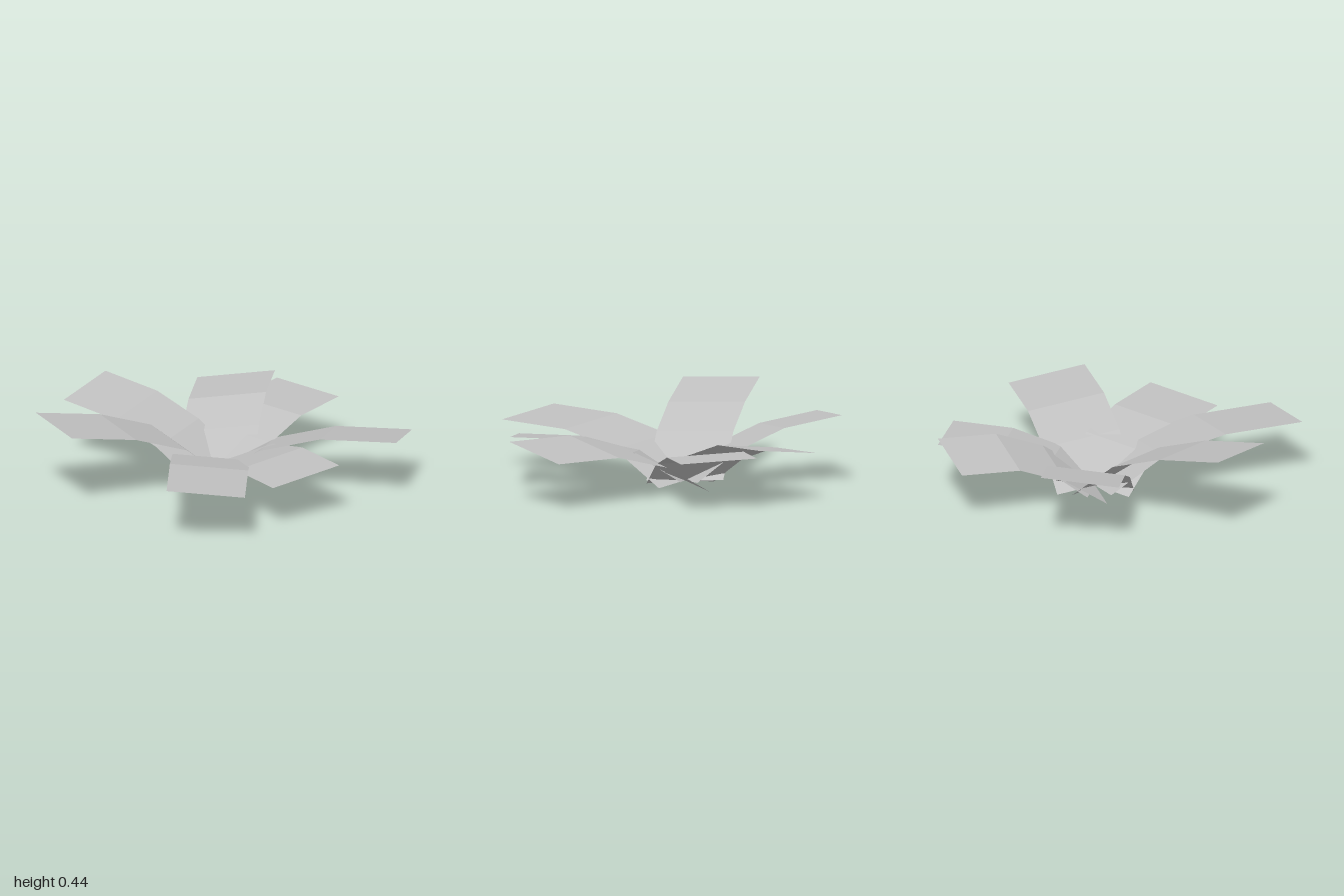
import * as THREE from 'three';

// Shared root point where every leaf strip starts
const ROOT = { x: -0.06, y: 0.035, z: -0.145 };
const HALF_WIDTH = 0.208;
// Fractions of the reach at which a leaf bends
const STATIONS = [0, 0.28, 0.6, 1];

// dir: plan direction [x, z]; reach: plan length;
// heights: centre line at the bends and tip; tilt: rise of the clockwise side
const LEAVES = [
  { name: 'backLeaf', dir: [0.14, -0.99], hx: 0.03, reach: 0.81, heights: [0.185, 0.28, 0.29] },
  { name: 'backLeftLeaf', dir: [0.61, -0.79], hx: -0.008, reach: 0.81, heights: [0.175, 0.255, 0.272] },
  { name: 'leftLeaf', dir: [0.98, 0.2], hx: 0.033, reach: 1.03, heights: [0.195, 0.283, 0.293] },
  { name: 'frontLeftLeaf', dir: [0.54, 0.84], hx: -0.025, reach: 0.91, heights: [0.19, 0.253, 0.26] },
  { name: 'frontLeaf', dir: [-0.035, 1], hx: 0.016, reach: 1.11, heights: [0.21, 0.278, 0.28] },
  { name: 'frontRightLeaf', dir: [-0.885, 0.465], hx: 0.008, reach: 0.957, heights: [0.255, 0.363, 0.433] },
  { name: 'backRightLeaf', dir: [-0.85, -0.527], hx: 0.02, reach: 0.81, heights: [0.195, 0.303, 0.355] },
];

// A flat strip bent along its length and tilted sideways
function leafGeometry({ dir, hx, reach, heights }) {
  const len = Math.hypot(dir[0], dir[1]);
  const dx = dir[0] / len, dz = dir[1] / len;
  const ys = [ROOT.y, ...heights];
  const strip = new THREE.PlaneGeometry(1, 1, 1, 3);
  const pos = strip.attributes.position;
  for (let row = 0; row < 4; row++) {
    const r = STATIONS[row] * reach;
    for (let col = 0; col < 2; col++) {
      const side = col === 0 ? 1 : -1;
      const w = side * HALF_WIDTH;
      pos.setXYZ(
        row * 2 + col,
        ROOT.x + dx * r - dz * w,
        ys[row] + side * hx,
        ROOT.z + dz * r + dx * w
      );
    }
  }
  const flat = strip.toNonIndexed();
  flat.computeVertexNormals();
  return flat;
}

export function createModel() {
  const group = new THREE.Group();
  group.name = 'leafyPlant';
  const leafGrey = new THREE.MeshStandardMaterial({
    color: 0xc0c0c0, side: THREE.DoubleSide, flatShading: true,
  });
  leafGrey.name = 'leafGrey';
  for (const leaf of LEAVES) {
    const mesh = new THREE.Mesh(leafGeometry(leaf), leafGrey);
    mesh.name = leaf.name;
    group.add(mesh);
  }
  return group;
}
